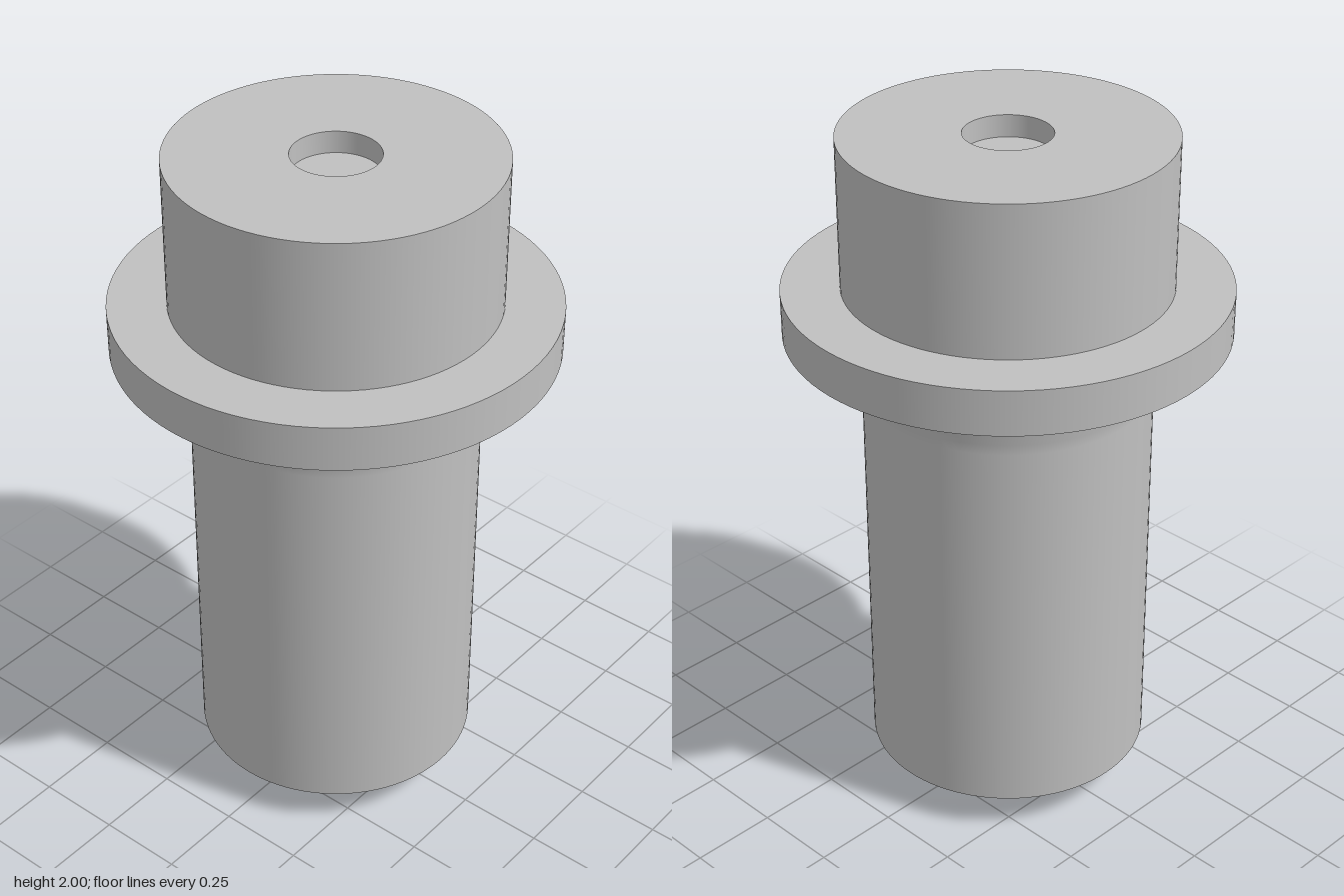
import * as THREE from 'three';

const SEGMENTS = 96;

export function createModel() {
  const model = new THREE.Group();
  model.name = 'flangedPin';

  const steel = new THREE.MeshStandardMaterial({ color: 0xc0c0c0 });
  steel.name = 'steel grey';

  // One group per part; each strip is its own lathe so the edges between strips stay sharp.
  // Profiles run upward along outer walls, as [radius, height].
  function addPart(name, strips) {
    const part = new THREE.Group();
    part.name = name;
    strips.forEach((strip, i) => {
      const points = strip.map(([r, y]) => new THREE.Vector2(r, y));
      const mesh = new THREE.Mesh(new THREE.LatheGeometry(points, SEGMENTS), steel);
      mesh.name = `${name}Surface${i + 1}`;
      part.add(mesh);
    });
    model.add(part);
  }

  // Chamfered tip with a flat end
  addPart('tip', [
    [[0, 0], [0.23, 0]],
    [[0.23, 0], [0.405, 0.11]],
  ]);

  // Shank, flaring softly into the neck under the flange
  addPart('shank', [
    [[0.405, 0.11], [0.405, 1.26], [0.407, 1.29], [0.418, 1.36], [0.43, 1.44]],
  ]);

  // Flange ring
  addPart('flange', [
    [[0.43, 1.44], [0.617, 1.44]],
    [[0.617, 1.44], [0.617, 1.57]],
    [[0.617, 1.57], [0.455, 1.57]],
  ]);

  // Head with a flat annular top
  addPart('head', [
    [[0.455, 1.57], [0.455, 2]],
    [[0.455, 2], [0.122, 2]],
  ]);

  // Shallow blind hole in the head
  addPart('centreHole', [
    [[0.122, 2], [0.122, 1.937]],
    [[0.122, 1.937], [0, 1.937]],
  ]);

  return model;
}
